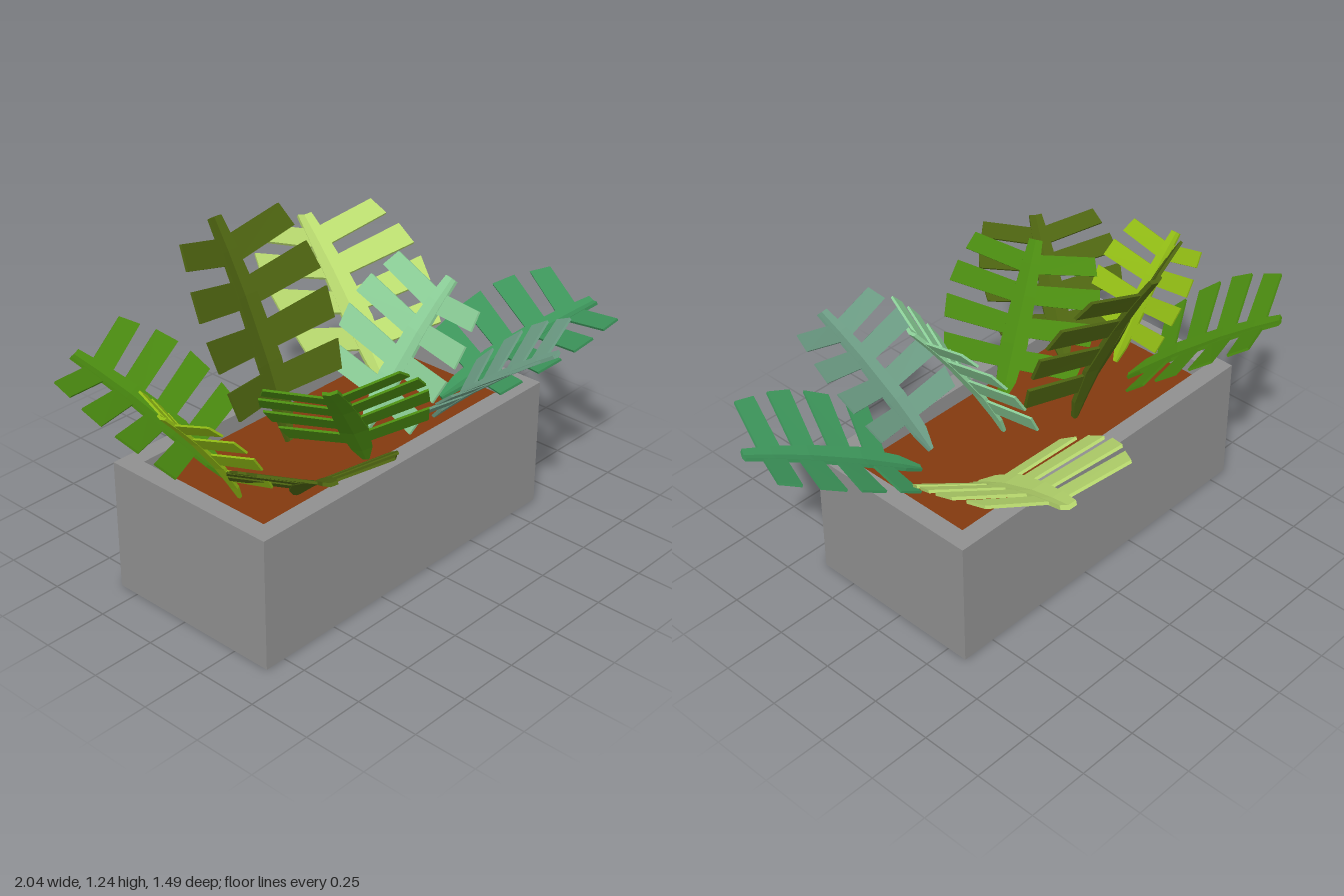
import * as THREE from 'three';

const mat = (name, color) => Object.assign(new THREE.MeshStandardMaterial({ color }), { name });
const M = {
  stone: mat('stone grey', 0x8f8f8f),
  soil: mat('soil brown', 0x82390f),
  lime: mat('pale lime', 0xb8d96e),
  yellow: mat('yellow green', 0x8fb914),
  green: mat('leaf green', 0x4a8a10),
  olive: mat('olive', 0x4c6210),
  mint: mat('mint', 0x8ccf98),
  sage: mat('sage', 0x6c9c84),
  emerald: mat('emerald', 0x3c945a),
};

// One leaf of unit length and unit half width: folded rib plus four pairs of lobes
function leafGeometry() {
  const pos = [];
  // surface height: V fold across the rib and a gentle arch along it
  const height = (u, s) => 0.108 * Math.abs(u) + 0.12 * s * (1 - s);
  // thin solid over four (u, s) corners, counter-clockwise from above
  const slab = (corners, t) => {
    const at = (z) => corners.map(([u, s]) => [u, s, height(u, s) + z]);
    const top = at(t / 2), low = at(-t / 2);
    const quad = (a, b, c, d) => pos.push(...a, ...b, ...c, ...a, ...c, ...d);
    quad(...top);
    quad(low[3], low[2], low[1], low[0]);
    for (let i = 0; i < 4; i++) {
      const j = (i + 1) % 4;
      quad(low[i], low[j], top[j], top[i]);
    }
  };
  const pair = (corners, t) => {
    slab(corners, t);
    slab(corners.map(([u, s]) => [-u, s]).reverse(), t);
  };
  // rib: [position, half width]
  const rib = [[0, 0.04], [0.12, 0.13], [0.35, 0.18], [0.65, 0.15], [0.85, 0.12], [1, 0.09]];
  for (let i = 0; i + 1 < rib.length; i++) {
    const [s0, w0] = rib[i], [s1, w1] = rib[i + 1];
    pair([[0, s0], [w0, s0], [w1, s1], [0, s1]], 0.02);
  }
  // lobes: rib start, rib end, outer start, outer end, outer reach of each edge
  const lobes = [
    [0.20, 0.32, 0.20, 0.33, 0.87, 0.93],
    [0.40, 0.52, 0.42, 0.56, 0.97, 1.00],
    [0.60, 0.72, 0.64, 0.77, 1.00, 0.95],
    [0.79, 0.91, 0.85, 0.96, 0.88, 0.80],
  ];
  for (const [a0, a1, e0, e1, u0, u1] of lobes) {
    pair([[0.07, a0], [u0, e0], [u1, e1], [0.07, a1]], 0.014);
  }
  const g = new THREE.BufferGeometry();
  g.setAttribute('position', new THREE.Float32BufferAttribute(pos, 3));
  g.computeVertexNormals();
  return g;
}

// Leaves: name, material, base, tip, half width, roll
const LEAVES = [
  ['backLeaf', M.olive, [-0.24, 0.46, -0.06], [-0.24, 1.235, -0.42], 0.31, 0.04],
  ['backLeftLeaf', M.lime, [0.30, 0.46, -0.07], [0.55, 0.89, -0.735], 0.33, 0],
  ['backRightLeaf', M.green, [-0.57, 0.46, -0.04], [-0.80, 0.85, -0.56], 0.32, 0],
  ['rightLeaf', M.yellow, [-0.62, 0.45, 0.07], [-0.95, 0.90, 0.06], 0.215, 0],
  ['frontRightLeaf', M.olive, [-0.47, 0.45, 0.20], [-0.77, 0.81, 0.645], 0.28, 0],
  ['frontMiddleLeaf', M.green, [-0.13, 0.45, 0.22], [-0.50, 0.93, 0.39], 0.29, 0.3],
  ['middleLeaf', M.mint, [0.00, 0.45, 0.09], [0.33, 1.00, 0.22], 0.31, 0.15],
  ['frontLeftLeaf', M.sage, [0.27, 0.45, 0.20], [0.33, 0.86, 0.70], 0.26, 0.08],
  ['leftLeaf', M.emerald, [0.38, 0.46, 0.14], [0.98, 0.73, 0.39], 0.31, 0],
];

export function createModel() {
  const model = new THREE.Group();
  const add = (name, geometry, material) => {
    const mesh = new THREE.Mesh(geometry, material);
    mesh.name = name;
    model.add(mesh);
    return mesh;
  };

  // Rectangular planter: walls, floor and soil
  const cx = -0.097, cz = 0.035, w = 1.475, d = 0.74, h = 0.52, wall = 0.075;
  const rect = (P, x, y) => {
    const p = new P();
    p.moveTo(-x, -y).lineTo(x, -y).lineTo(x, y).lineTo(-x, y).closePath();
    return p;
  };
  const outline = rect(THREE.Shape, w / 2, d / 2);
  outline.holes.push(rect(THREE.Path, w / 2 - wall, d / 2 - wall));
  const walls = new THREE.ExtrudeGeometry(outline, { depth: h, bevelEnabled: false });
  add('planterWalls', walls.rotateX(-Math.PI / 2), M.stone).position.set(cx, 0, cz);
  const iw = w - 2 * wall, id = d - 2 * wall;
  add('planterFloor', new THREE.BoxGeometry(iw, 0.06, id), M.stone).position.set(cx, 0.03, cz);
  add('soil', new THREE.BoxGeometry(iw, 0.39, id), M.soil).position.set(cx, 0.255, cz);

  // Leaves: aim the shared leaf from base to tip
  const geometry = leafGeometry();
  const up = new THREE.Vector3(0, 1, 0);
  for (const [name, material, base, tip, half, roll] of LEAVES) {
    const dir = new THREE.Vector3(...tip).sub(new THREE.Vector3(...base));
    const length = dir.length();
    dir.normalize();
    const side = dir.clone().cross(up).normalize().applyAxisAngle(dir, roll);
    const normal = side.clone().cross(dir);
    const leaf = add(name, geometry, material);
    leaf.quaternion.setFromRotationMatrix(new THREE.Matrix4().makeBasis(side, dir, normal));
    leaf.scale.set(half, length, length);
    leaf.position.set(...base);
  }
  return model;
}
